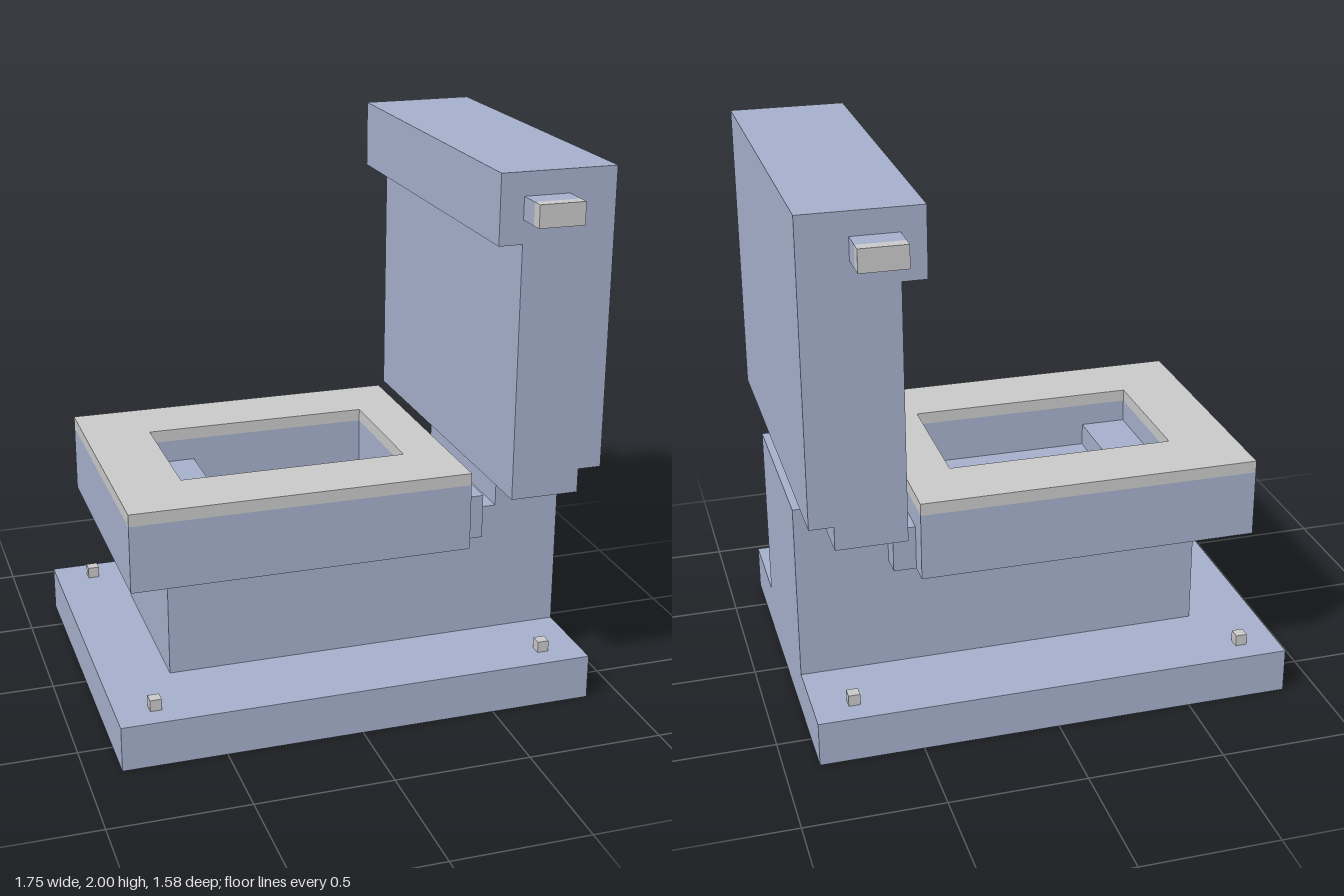
import * as THREE from 'three';

export function createModel() {
  const model = new THREE.Group();
  model.name = 'toilet';

  const ceramic = new THREE.MeshStandardMaterial({ color: 0xa4afca });
  ceramic.name = 'blue ceramic';
  const trim = new THREE.MeshStandardMaterial({ color: 0xc8c8c8 });
  trim.name = 'grey trim';

  const add = (name, geometry, material) => {
    const mesh = new THREE.Mesh(geometry, material);
    mesh.name = name;
    model.add(mesh);
    return mesh;
  };

  // Box given by its limits on each axis
  const box = (name, [x0, x1], [y0, y1], [z0, z1], material = ceramic) => {
    const mesh = add(name, new THREE.BoxGeometry(x1 - x0, y1 - y0, z1 - z0), material);
    mesh.position.set((x0 + x1) / 2, (y0 + y1) / 2, (z0 + z1) / 2);
  };

  const corners = (x0, x1, z) => [[x0, -z], [x1, -z], [x1, z], [x0, z]].map(([x, y]) => new THREE.Vector2(x, y));

  // Horizontal slab with the bowl outline and a rectangular opening
  const frame = (name, [y0, y1], [hx0, hx1], hz, material = ceramic) => {
    const shape = new THREE.Shape(corners(-0.79, 0.458, 0.5));
    shape.holes.push(new THREE.Path(corners(hx0, hx1, hz).reverse()));
    const geometry = new THREE.ExtrudeGeometry(shape, { depth: y1 - y0, bevelEnabled: false });
    geometry.rotateX(-Math.PI / 2);
    add(name, geometry, material).position.y = y0;
  };

  // Side profile extruded across z
  const profile = (name, points, halfWidth) => {
    const shape = new THREE.Shape(points.map(([x, y]) => new THREE.Vector2(x, y)));
    const geometry = new THREE.ExtrudeGeometry(shape, { depth: halfWidth * 2, bevelEnabled: false });
    geometry.translate(0, 0, -halfWidth);
    add(name, geometry, ceramic);
  };

  // Foot plate and stepped pedestal
  box('base', [-0.875, 0.875], [0, 0.167], [-0.667, 0.667]);
  profile('pedestal', [
    [-0.625, 0.167], [0.875, 0.167], [0.875, 0.833], [0.625, 0.833],
    [0.625, 0.667], [0.5, 0.667], [0.5, 0.585], [-0.625, 0.585],
  ], 0.333);

  // Bowl: floor with drain, walls, inner step, grey seat
  frame('bowlFloor', [0.585, 0.667], [-0.045, 0.29], 0.085);
  frame('bowlWalls', [0.667, 0.833], [-0.547, 0.29], 0.25);
  frame('seat', [0.833, 0.878], [-0.547, 0.29], 0.25, trim);
  box('bowlStep', [-0.547, -0.378], [0.667, 0.75], [-0.25, 0.25]);
  box('hingeBlock', [0.458, 0.54], [0.585, 0.75], [-0.417, 0.417]);

  // Tank with overhanging top and notched lower back edge
  profile('tank', [
    [0.54, 0.833], [0.79, 0.833], [0.79, 0.92], [0.875, 0.92],
    [0.875, 2], [0.455, 2], [0.455, 1.753], [0.54, 1.753],
  ], 0.667);

  // Handles and floor bolts on both sides
  for (const side of [-1, 1]) {
    const span = (a, b) => (side > 0 ? [a, b] : [-b, -a]);
    box('handleStem', [0.54, 0.705], [1.837, 1.917], span(0.667, 0.75));
    box('handleCap', [0.54, 0.705], [1.837, 1.917], span(0.75, 0.792), trim);
    for (const x of [-0.733, 0.729]) {
      box('bolt', [x - 0.021, x + 0.021], [0.167, 0.209], span(0.542, 0.584), trim);
    }
  }

  return model;
}
